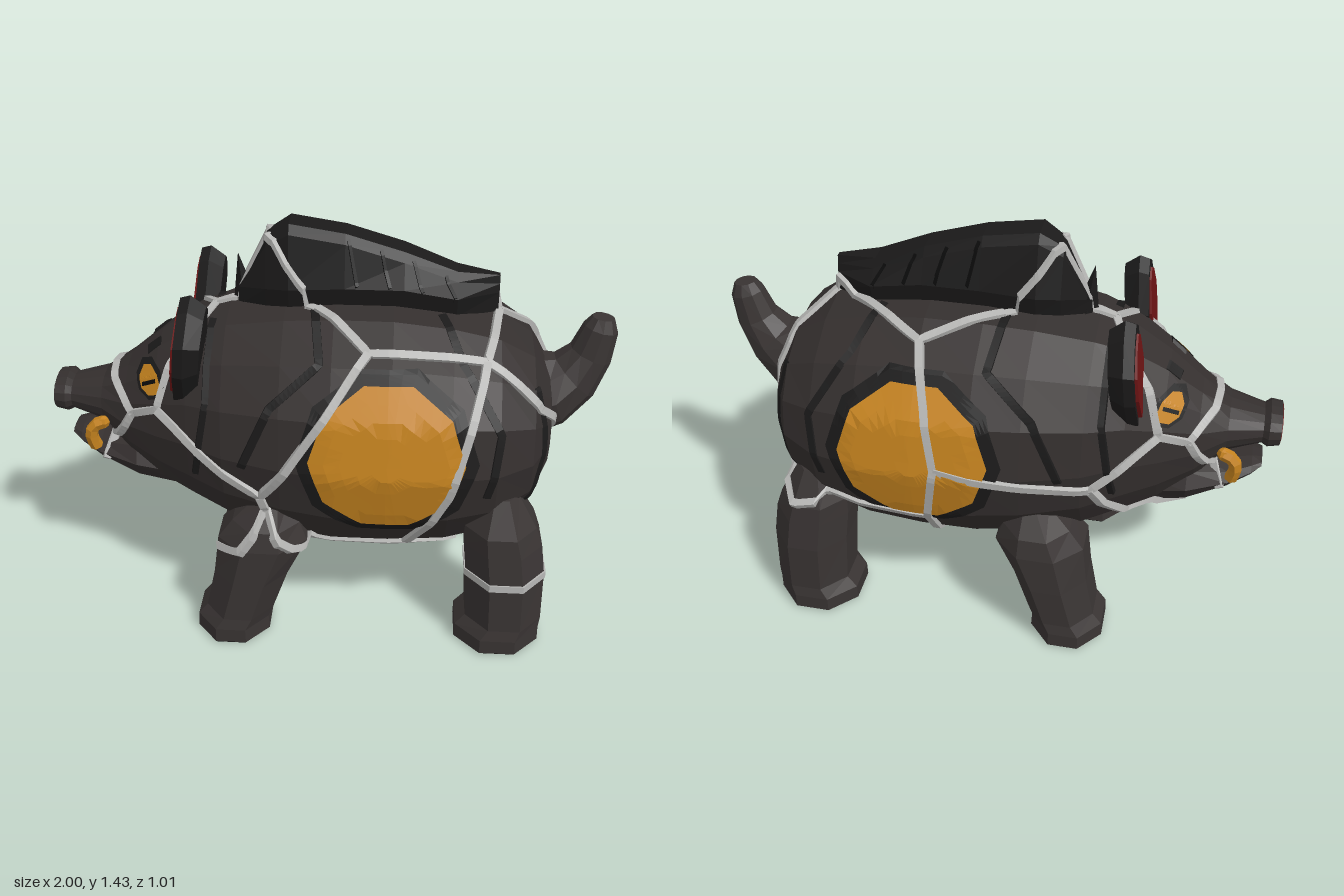
import * as THREE from 'three';

const V = (x, y, z) => new THREE.Vector3(x, y, z);
const mat = (color) => new THREE.MeshStandardMaterial({ color, flatShading: true, side: THREE.DoubleSide });
const HIDE = mat(0x342f2e), LIMB = mat(0x393433), DARK = mat(0x1b1a1a), BLACK = mat(0x0b0b0b);
const ORANGE = mat(0xc5831f), RED = mat(0x6e1414), VEIN = mat(0xb4b4b2);

function mesh(name, geometry, material, parent) {
  const m = new THREE.Mesh(geometry, material);
  m.name = name;
  parent.add(m);
  return m;
}

// Closed skin over rings of equal point count, capped at both ends and turned outward
function loft(rings) {
  const n = rings[0].length, pts = rings.flat(), idx = [];
  for (let r = 0; r < rings.length - 1; r++)
    for (let i = 0; i < n; i++) {
      const a = r * n + i, b = r * n + (i + 1) % n;
      idx.push(a, b, a + n, b, b + n, a + n);
    }
  for (const end of [0, rings.length - 1]) {
    const c = pts.length;
    pts.push(rings[end].reduce((s, p) => s.add(p), V(0, 0, 0)).divideScalar(n));
    for (let i = 0; i < n; i++) {
      const a = end * n + i, b = end * n + (i + 1) % n;
      end ? idx.push(a, b, c) : idx.push(b, a, c);
    }
  }
  let volume = 0;
  for (let i = 0; i < idx.length; i += 3)
    volume += pts[idx[i]].dot(pts[idx[i + 1]].clone().cross(pts[idx[i + 2]]));
  if (volume < 0) idx.reverse();
  const g = new THREE.BufferGeometry().setFromPoints(pts);
  g.setIndex(idx);
  g.computeVertexNormals();
  return g;
}

// Ring of n points about c, spanned by u and v; a fullness below 1 squares its upper half
function ring(c, u, v, n, turn = 0, fullness = 1) {
  return Array.from({ length: n }, (_, i) => {
    const a = ((i + turn) / n) * Math.PI * 2, e = Math.sin(a) > 0 ? fullness : 1;
    const bend = (t) => Math.sign(t) * Math.abs(t) ** e;
    return c.clone().addScaledVector(u, bend(Math.cos(a))).addScaledVector(v, bend(Math.sin(a)));
  });
}

// Sections along x: [x, bottom, top, half width]
const alongX = (rows, n) => loft(rows.map(([x, lo, hi, w]) =>
  ring(V(x, (lo + hi) / 2, 0), V(0, 0, w), V(0, (hi - lo) / 2, 0), n, 0, 0.96)));

// Sections along y: [x centre, y, z centre, half x, half z]
const alongY = (rows, side) => loft(rows.map(([x, y, z, rx, rz]) =>
  ring(V(x, y, z * side), V(rx * 1.06, 0, 0), V(0, 0, rz * 1.06), 8, 0.5)));

const ray = new THREE.Raycaster();
function hit(targets, from, dir) {
  ray.set(from, dir);
  const h = ray.intersectObjects(targets, false)[0];
  return h ? h.point : null;
}

// Raised band that follows the surface between rough guide points
function band(targets, guide, width, height) {
  const path = [], steps = 12;
  for (let s = 0; s < guide.length - 1; s++)
    for (let k = s ? 1 : 0; k <= steps; k++) {
      const p = V(...guide[s]).lerp(V(...guide[s + 1]), k / steps);
      const core = V(THREE.MathUtils.clamp(p.x, -0.75, 0.45), 0.74, 0);
      const dir = p.sub(core).normalize();
      const q = hit(targets, core.clone().addScaledVector(dir, 2), dir.clone().negate());
      if (q) path.push({ q, dir });
    }
  return loft(path.map(({ q, dir }, i) => {
    const a = path[Math.max(i - 1, 0)].q, b = path[Math.min(i + 1, path.length - 1)].q;
    const across = b.clone().sub(a).cross(dir).normalize();
    return [[-1, -0.012], [-0.75, height], [0.75, height], [1, -0.012]].map(([w, h]) =>
      q.clone().addScaledVector(across, w * width).addScaledVector(dir, h));
  }));
}

// Polygon patch laid on the flank as seen along z, from radius r0 out to r1
function patch(targets, cx, cy, r0, r1, sides, side, lift) {
  const steps = 5, parts = 4, count = sides * parts, pts = [];
  const corner = (i) => new THREE.Vector2(1, 0).rotateAround(new THREE.Vector2(), (i / sides) * Math.PI * 2);
  const point = (k, i) => {
    const r = r0 + (r1 - r0) * k / steps, s = Math.floor(i / parts);
    const c = corner(s).lerp(corner(s + 1), (i % parts) / parts).multiplyScalar(r);
    return hit(targets, V(cx + c.x, cy + c.y, 2 * side), V(0, 0, -side)).add(V(0, 0, lift * side));
  };
  for (let k = 0; k < steps; k++)
    for (let i = 0; i < count; i++) {
      const [a, b, c, d] = [point(k, i), point(k + 1, i), point(k + 1, i + 1), point(k, i + 1)];
      if (side > 0) pts.push(a, b, c, a, c, d); else pts.push(a, c, b, a, d, c);
    }
  const g = new THREE.BufferGeometry().setFromPoints(pts);
  g.computeVertexNormals();
  return g;
}

export function createModel() {
  const model = new THREE.Group();
  model.name = 'boar';

  // Trunk, head and upper snout in one skin
  const body = mesh('body', alongX([
    [-1, 0.69, 0.82, 0.1], [-0.96, 0.68, 0.825, 0.105], [-0.94, 0.69, 0.81, 0.09], [-0.82, 0.65, 0.84, 0.13],
    [-0.72, 0.52, 0.91, 0.19], [-0.6, 0.42, 1.01, 0.26], [-0.48, 0.36, 1.09, 0.33], [-0.35, 0.305, 1.135, 0.4],
    [-0.15, 0.255, 1.17, 0.455], [0.02, 0.235, 1.185, 0.485], [0.22, 0.235, 1.185, 0.49], [0.42, 0.255, 1.16, 0.48],
    [0.58, 0.3, 1.115, 0.44], [0.7, 0.4, 1.035, 0.37], [0.765, 0.54, 0.92, 0.25], [0.78, 0.63, 0.85, 0.15]], 16), HIDE, model);
  const jaw = mesh('lowerJaw', alongX([
    [-0.955, 0.585, 0.615, 0.06], [-0.92, 0.555, 0.62, 0.09], [-0.84, 0.51, 0.615, 0.135],
    [-0.7, 0.44, 0.64, 0.18], [-0.5, 0.39, 0.62, 0.18]], 10), HIDE, model);

  // Ridge of bristles: [x, base, crest, half width, crest half width]
  const mane = mesh('mane', loft([
    [-0.32, 1.12, 1.18, 0.03, 0.01], [-0.22, 1.14, 1.38, 0.09, 0.035], [-0.14, 1.15, 1.43, 0.12, 0.05],
    [0.05, 1.16, 1.4, 0.12, 0.05], [0.25, 1.16, 1.34, 0.12, 0.05], [0.43, 1.13, 1.27, 0.115, 0.04],
    [0.575, 1.12, 1.25, 0.02, 0.01]].map(([x, lo, hi, w, t]) => [
    V(x, lo, -w * 0.85), V(x, lo + 0.07, -w), V(x, hi - 0.03, -t * 1.5), V(x, hi, -t),
    V(x, hi, t), V(x, hi - 0.03, t * 1.5), V(x, lo + 0.07, w), V(x, lo, w * 0.85)])), DARK, model);
  const tuft = mesh('foreheadTuft', new THREE.ConeGeometry(0.045, 0.19, 4), DARK, model);
  tuft.position.set(-0.31, 1.21, 0);
  tuft.rotation.z = 0.12;
  const skin = [body, jaw, mane], skinAndLegs = [...skin];

  // Tail: [x, y, radius, lean of the section]
  mesh('tail', loft([[0.72, 0.81, 0.165, 0.1], [0.79, 0.82, 0.14, 0.35], [0.86, 0.875, 0.105, 0.8],
    [0.91, 0.96, 0.078, 1.2], [0.935, 1.06, 0.062, 1.35], [0.94, 1.1, 0.04, 1.45]].map(([x, y, r, t]) =>
    ring(V(x, y, 0), V(-Math.sin(t) * r, Math.cos(t) * r, 0), V(0, 0, r * 0.95), 10, 0.5))), LIMB, model);

  // Snout plate
  const plate = mesh('snoutPlate', new THREE.CylinderGeometry(0.075, 0.075, 0.006, 8), RED, model);
  plate.scale.set(0.8, 1, 1.2);
  plate.rotation.z = Math.PI / 2;
  plate.position.set(-1, 0.755, 0);

  for (const side of [1, -1]) {
    const half = new THREE.Group();
    half.name = side > 0 ? 'leftSide' : 'rightSide';
    model.add(half);

    const nostril = mesh('nostril', new THREE.CylinderGeometry(0.02, 0.02, 0.008, 6), BLACK, half);
    nostril.rotation.z = Math.PI / 2;
    nostril.position.set(-1.001, 0.755, 0.035 * side);

    // Legs with wide hooves and dark soles
    const legs = [
      mesh('frontLeg', alongY([[-0.33, 0.006, 0.35, 0.133, 0.155], [-0.33, 0.06, 0.35, 0.13, 0.155],
        [-0.305, 0.1, 0.348, 0.122, 0.148], [-0.262, 0.25, 0.335, 0.133, 0.158], [-0.218, 0.39, 0.325, 0.16, 0.16],
        [-0.205, 0.46, 0.325, 0.12, 0.14], [-0.185, 0.53, 0.31, 0.06, 0.09]], side), LIMB, half),
      mesh('hindLeg', alongY([[0.62, 0.006, 0.348, 0.153, 0.158], [0.62, 0.06, 0.348, 0.152, 0.158],
        [0.64, 0.1, 0.345, 0.137, 0.152], [0.635, 0.29, 0.33, 0.14, 0.163], [0.622, 0.4, 0.318, 0.138, 0.16],
        [0.61, 0.47, 0.318, 0.125, 0.15], [0.605, 0.59, 0.32, 0.06, 0.08]], side), LIMB, half)];
    skinAndLegs.push(...legs);
    for (const [x, r] of [[-0.33, 0.13], [0.62, 0.15]])
      mesh('sole', alongY([[x, 0, 0.35, r * 0.97, 0.15], [x, 0.01, 0.35, r * 0.97, 0.15]], side), BLACK, half);

    // Ears: dark leaf with red lining toward the snout
    const outline = [[0.15, 0.89], [0.115, 1.06], [0.165, 1.2], [0.22, 1.235], [0.28, 1.2], [0.345, 1.1], [0.34, 0.99], [0.28, 0.87]];
    const leaf = (layers) => loft(layers.map(([x, s]) => outline.map(([z, y]) =>
      V(x + (y - 1.04) * 0.1, 1.04 + (y - 1.04) * s, (0.23 + (z - 0.23) * s) * side))));
    const ear = new THREE.Group();
    ear.name = 'ear';
    half.add(ear);
    mesh('earShell', leaf([[-0.505, 0.97], [-0.47, 1.02], [-0.42, 0.82]]), DARK, ear);
    mesh('earLining', leaf([[-0.515, 0.8], [-0.49, 0.82]]), RED, ear);

    // Eyes, brow spots and flank discs, each with a darker rim
    mesh('eyeRim', patch(skin, -0.62, 0.9, 0.04, 0.058, 8, side, 0.008), DARK, half);
    mesh('eye', patch(skin, -0.62, 0.9, 0, 0.043, 8, side, 0.014), ORANGE, half);
    mesh('pupil', band(skin, [[-0.648, 0.89, 0.2 * side], [-0.595, 0.91, 0.215 * side]], 0.009, 0.016), BLACK, half);
    mesh('browSpot', band(skin, [[-0.643, 0.99, 0.09 * side], [-0.593, 1.02, 0.09 * side]], 0.027, 0.008), DARK, half);
    mesh('discRim', patch(skin, 0.21, 0.765, 0.24, 0.305, 10, side, 0.009), DARK, half);
    mesh('disc', patch(skin, 0.21, 0.765, 0, 0.26, 10, side, 0.014), ORANGE, half);

    // Tusks curling up from the jaw
    const curl = new THREE.CatmullRomCurve3([V(-0.85, 0.59, 0.135 * side), V(-0.862, 0.64, 0.145 * side),
      V(-0.85, 0.68, 0.145 * side), V(-0.815, 0.695, 0.14 * side)]);
    mesh('tusk', new THREE.TubeGeometry(curl, 5, 0.024, 6), ORANGE, half);
    mesh('tuskTip', new THREE.SphereGeometry(0.024, 6, 4), ORANGE, half).position.copy(curl.getPoint(1));

    // Grooves between the bristles
    for (const x of [0.06, 0.17, 0.28, 0.39])
      mesh('bristleGroove', band([mane], [[x, 1.38 - x * 0.3, 0.06 * side], [x + 0.04, 1.2, 0.125 * side]], 0.008, 0.003), BLACK, half);

    // Dark stripes down the flanks
    for (const path of [
      [[-0.05, 1.18, 0.12], [-0.02, 1.05, 0.33], [-0.18, 0.92, 0.4], [-0.28, 0.7, 0.4]],
      [[0.38, 1.16, 0.12], [0.45, 1.05, 0.3], [0.58, 0.85, 0.4], [0.55, 0.62, 0.44]],
      [[-0.4, 1.1, 0.1], [-0.4, 0.9, 0.35], [-0.45, 0.6, 0.35]],
      [[0.7, 0.95, 0.25], [0.73, 0.75, 0.28], [0.68, 0.55, 0.3]]])
      mesh('stripe', band(skin, path.map(([x, y, z]) => [x, y, z * side]), 0.018, 0.004), DARK, half);

    // Pale seams common to both sides of the head and mane
    for (const path of [
      [[-0.4, 1.13, 0], [-0.46, 1.07, 0.13], [-0.54, 1.0, 0.22], [-0.59, 0.82, 0.26], [-0.69, 0.77, 0.2], [-0.82, 0.54, 0.13]],
      [[-0.69, 0.77, 0.2], [-0.77, 0.86, 0.1], [-0.78, 0.87, 0]],
      [[-0.4, 1.13, 0], [-0.3, 1.2, 0.01], [-0.22, 1.38, 0.03], [-0.14, 1.3, 0.1], [-0.04, 1.2, 0.14]]])
      mesh('seam', band(skin, path.map(([x, y, z]) => [x, y, z * side]), 0.017, 0.009), VEIN, half);
  }

  // Pale seams that differ from side to side
  const seams = [
    [[-0.04, 1.2, 0.14], [0.14, 1.08, 0.3], [0.53, 1.05, 0.27], [0.58, 1.12, 0]],
    [[0.14, 1.08, 0.3], [0, 0.9, 0.43], [-0.22, 0.58, 0.42], [-0.59, 0.82, 0.26]],
    [[-0.22, 0.58, 0.42], [-0.2, 0.51, 0.43], [-0.37, 0.38, 0.38]],
    [[-0.2, 0.51, 0.43], [-0.03, 0.37, 0.32], [0.28, 0.38, 0.33], [0.46, 0.36, 0.28]],
    [[0.28, 0.38, 0.33], [0.42, 0.65, 0.46], [0.53, 1.05, 0.27]],
    [[0.53, 1.05, 0.27], [0.7, 0.88, 0.27], [0.78, 0.72, 0.08], [0.77, 0.55, -0.11]],
    [[0.58, 1.12, 0], [0.72, 0.95, -0.14], [0.77, 0.75, -0.16], [0.77, 0.55, -0.11]],
    [[0.77, 0.55, -0.11], [0.68, 0.42, 0], [0.6, 0.33, 0.1]],
    [[0.77, 0.55, -0.11], [0.69, 0.53, -0.35], [0.5, 0.51, -0.44], [0.17, 0.5, -0.43]],
    [[-0.04, 1.2, -0.14], [0.22, 1.11, -0.27], [0.58, 1.12, 0]],
    [[0.22, 1.11, -0.27], [0.17, 0.95, -0.43], [0.13, 0.74, -0.49], [0.17, 0.5, -0.43], [0.15, 0.28, -0.15]],
    [[0.13, 0.74, -0.49], [-0.38, 0.65, -0.38], [-0.59, 0.82, -0.26]],
    [[-0.38, 0.65, -0.38], [-0.5, 0.45, -0.2], [-0.7, 0.45, -0.1]]];
  for (const path of seams) mesh('seam', band(skinAndLegs, path, 0.018, 0.015), VEIN, model);

  // Pale ring on the left hind leg
  mesh('legBand', alongY([[0.635, 0.275, 0.331, 0.145, 0.168], [0.635, 0.3, 0.329, 0.145, 0.168]], 1), VEIN, model);
  return model;
}
